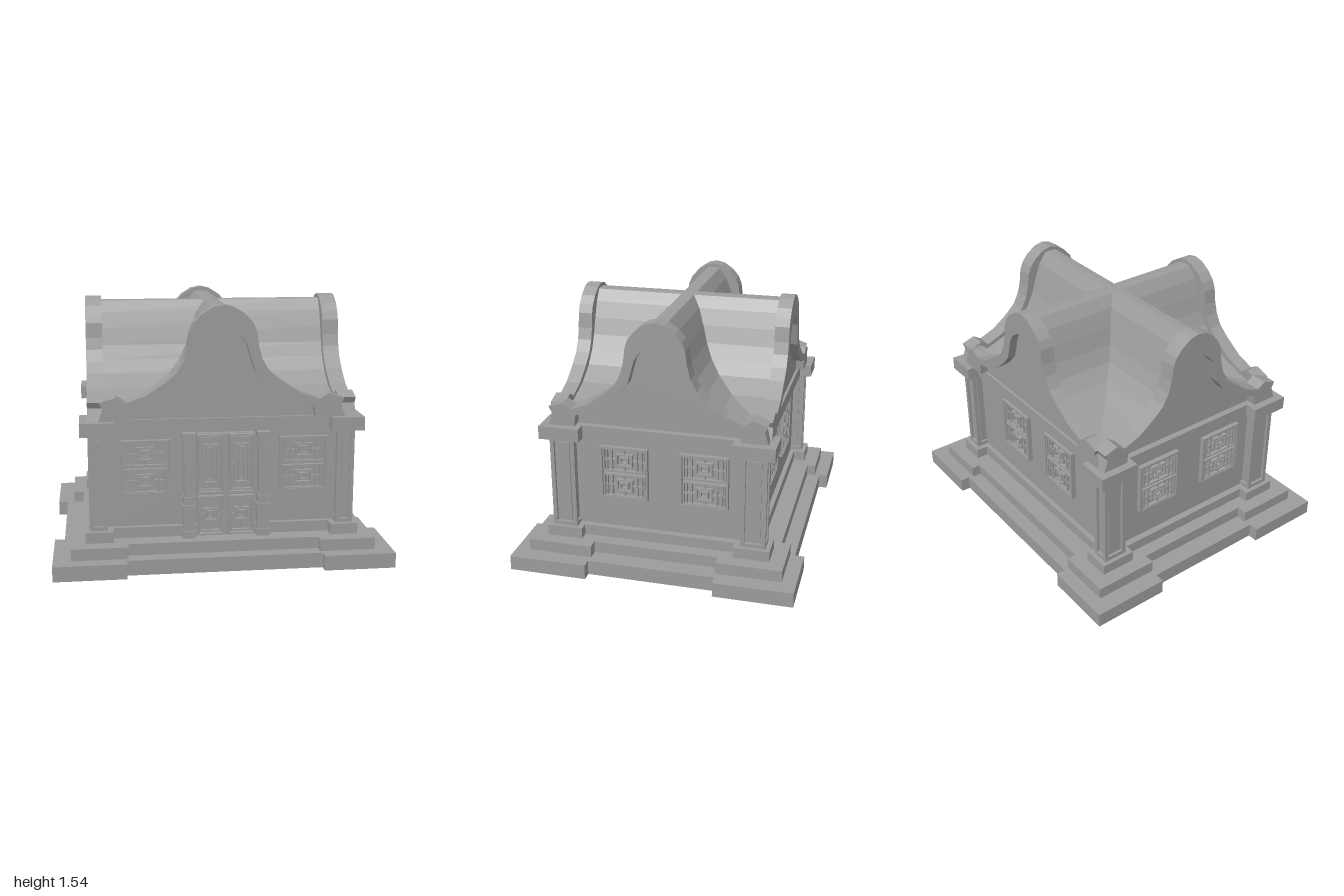
import * as THREE from 'three';

const mat = new THREE.MeshStandardMaterial({ color: 0x9c9c9c, flatShading: true, side: THREE.DoubleSide });

function add(parent, name, geo, x = 0, y = 0, z = 0) {
  const m = new THREE.Mesh(geo, mat);
  m.name = name;
  m.position.set(x, y, z);
  parent.add(m);
  return m;
}
// box resting its back on local z
function slab(parent, name, x, y, z, w, h, d) {
  return add(parent, name, new THREE.BoxGeometry(w, h, d), x, y, z + d / 2);
}
const poly = pts => new THREE.Shape(pts.map(p => new THREE.Vector2(...p)));
const extrude = (shape, depth) => new THREE.ExtrudeGeometry(shape, { depth, bevelEnabled: false });
const rect = (w, h) => [[-w / 2, -h / 2], [w / 2, -h / 2], [w / 2, h / 2], [-w / 2, h / 2]];

// rectangular picture-frame moulding
function frame(parent, name, x, y, z, w, h, border, depth) {
  const s = poly(rect(w, h));
  s.holes.push(poly(rect(w - 2 * border, h - 2 * border)));
  return add(parent, name, extrude(s, depth), x, y, z);
}

// rectangle whose four corners project past the recessed sides
function footprint(X, Z, nx, nz, rx, rz) {
  const quarter = [[rx, nz], [X, nz], [X, Z], [nx, Z], [nx, rz]];
  const flip = [...quarter].reverse();
  return [...quarter, ...flip.map(([x, z]) => [-x, z]),
    ...quarter.map(([x, z]) => [-x, -z]), ...flip.map(([x, z]) => [x, -z])];
}
function tier(parent, name, y0, y1, pts, hole) {
  const s = poly(pts);
  if (hole) s.holes.push(poly(hole));
  add(parent, name, extrude(s, y1 - y0).rotateX(-Math.PI / 2), 0, y0, 0);
}

// fretwork: border and inner frame (iw x ih) joined by short bars, with a small core
function lattice(parent, x, y, w, h, iw, ih) {
  frame(parent, 'latticeBorder', x, y, 0, w, h, 0.009, 0.024);
  frame(parent, 'latticeInner', x, y, 0, iw, ih, 0.01, 0.024);
  frame(parent, 'latticeCore', x, y, 0, iw - 0.05, ih - 0.036, 0.009, 0.024);
  for (const s of [-1, 1]) {
    slab(parent, 'latticeCrossBar', x + s * (w / 2 + iw / 2) / 2, y, 0, (w - iw) / 2, 0.01, 0.018);
    slab(parent, 'latticePost', x, y + s * (h / 2 + ih / 2) / 2, 0, 0.01, (h - ih) / 2, 0.018);
  }
}

function windowUnit() {
  const g = new THREE.Group();
  g.name = 'window';
  frame(g, 'windowFrame', 0, 0, 0, 0.29, 0.33, 0.012, 0.03);
  for (const s of [-1, 1]) {
    lattice(g, 0, s * 0.082, 0.258, 0.148, 0.102, 0.08);
    for (const x of [-0.107, -0.077, 0.077, 0.107]) {
      slab(g, 'latticeSideBar', x, s * 0.082, 0, 0.009, 0.13, 0.02);
    }
  }
  return g;
}

function door() {
  const g = new THREE.Group();
  g.name = 'door';
  for (const s of [-1, 1]) {
    const x = s * 0.0925;
    slab(g, 'doorLeaf', x, 0.475, -0.06, 0.158, 0.62, 0.06);
    frame(g, 'leafUpperFrame', x, 0.605, 0, 0.157, 0.355, 0.01, 0.03);
    lattice(g, x, 0.605, 0.13, 0.325, 0.092, 0.24);
    frame(g, 'leafLowerFrame', x, 0.29, 0, 0.157, 0.24, 0.01, 0.03);
    lattice(g, x, 0.295, 0.13, 0.21, 0.09, 0.08);
    // stepped pilaster: centre height, width, height, depth
    const steps = [[0.18, 0.08, 0.04, 0.105], [0.265, 0.07, 0.13, 0.095], [0.345, 0.078, 0.03, 0.105],
      [0.385, 0.064, 0.05, 0.095], [0.55, 0.054, 0.32, 0.085], [0.72, 0.066, 0.03, 0.095],
      [0.75, 0.058, 0.03, 0.088], [0.78, 0.078, 0.03, 0.105]];
    for (const [y, w, h, d] of steps) slab(g, 'doorPilaster', s * 0.221, y, -0.06, w, h, d);
  }
  slab(g, 'doorMeetingStile', 0, 0.475, -0.06, 0.024, 0.62, 0.07);
  return g;
}

function cornerColumn(sx, sz) {
  const g = new THREE.Group();
  g.name = 'cornerColumn';
  const w = 0.105, d = 0.15, h = 0.575;
  slab(g, 'columnCore', 0, 0, -d / 2 + 0.018, w - 0.036, h, d - 0.036);
  // framed panel on each of the four faces
  for (let i = 0; i < 4; i++) {
    const face = new THREE.Group();
    face.name = 'columnFace';
    const fw = i % 2 ? d : w, off = (i % 2 ? w : d) / 2;
    frame(face, 'columnPanelFrame', 0, 0, off - 0.018, fw, h, 0.024, 0.018);
    slab(face, 'columnPanel', 0, 0, off - 0.018, fw - 0.068, h - 0.068, 0.008);
    face.rotation.y = i * Math.PI / 2;
    g.add(face);
  }
  g.position.set(sx * 0.7325, 0.5125, sz * 0.576);
  return g;
}

// half profiles of the bell gable and the roof behind it, apex to foot
const OUTER = [[0, 1.54], [0.06, 1.528], [0.125, 1.488], [0.17, 1.44], [0.192, 1.39], [0.205, 1.3],
  [0.225, 1.23], [0.265, 1.16], [0.335, 1.1], [0.45, 1.025], [0.565, 0.985], [0.62, 1.018],
  [0.715, 0.99], [0.695, 0.955], [0.72, 0.88]];
const INNER = [[0, 1.4], [0.05, 1.392], [0.1, 1.36], [0.135, 1.315], [0.155, 1.25], [0.18, 1.17],
  [0.245, 1.095], [0.35, 1.015], [0.44, 0.975], [0.535, 0.95], [0.545, 0.88]];
const ROOF = [[0, 1.515], [0.045, 1.512], [0.095, 1.445], [0.135, 1.35], [0.17, 1.25], [0.215, 1.165],
  [0.285, 1.09], [0.4, 1.015], [0.55, 0.965], [0.66, 0.945], [0.66, 0.86]];
const mirrored = (half, k) => [...half.slice(1).reverse().map(([x, y]) => [-x * k, y]),
  ...half.map(([x, y]) => [x * k, y])];

function gable(k, back, depth) {
  const g = new THREE.Group();
  g.name = 'gable';
  const side = (half, s) => half.map(([x, y]) => [s * x * k, y]);
  // rim band: outer curve across, inner curve back
  const rim = poly([...mirrored(OUTER, k), ...side(INNER, 1).reverse(), ...side(INNER.slice(1), -1)]);
  add(g, 'gableRim', extrude(rim, depth), 0, 0, back);
  add(g, 'gablePanel', extrude(poly(mirrored(INNER, k)), 0.035), 0, 0, back);
  return g;
}

export function createModel() {
  const model = new THREE.Group();
  model.name = 'pavilion';
  const DEPTH = 0.905; // narrower gables on the short sides

  // stepped plinth, hollow underneath
  const base = footprint(1, 0.855, 0.575, 0.385, 0.94, 0.8);
  tier(model, 'plinthSkirt', 0, 0.08, base, footprint(0.99, 0.845, 0.585, 0.395, 0.93, 0.79));
  tier(model, 'plinthTop', 0.08, 0.09, base);
  tier(model, 'middleStep', 0.09, 0.16, footprint(0.895, 0.77, 0.565, 0.38, 0.83, 0.715));
  tier(model, 'upperStep', 0.16, 0.225, footprint(0.81, 0.68, 0.645, 0.465, 0.75, 0.605));

  // walls and cornice
  add(model, 'walls', new THREE.BoxGeometry(1.42, 0.6, 1.15), 0, 0.51, 0);
  tier(model, 'cornice', 0.8, 0.88, footprint(0.83, 0.7, 0.635, 0.455, 0.755, 0.625));
  for (const sx of [-1, 1]) for (const sz of [-1, 1]) model.add(cornerColumn(sx, sz));

  // door and windows: x, z, facing
  const d = door();
  d.position.set(0.021, 0, 0.609);
  model.add(d);
  const q = Math.PI / 2;
  const spots = [[-0.45, 0.575, 0], [0.49, 0.575, 0], [-0.24, -0.575, 2 * q], [0.24, -0.575, 2 * q],
    [0.71, 0.2125, q], [0.71, -0.2725, q], [-0.71, -0.2125, -q], [-0.71, 0.2725, -q]];
  for (const [x, z, ry] of spots) {
    const w = windowUnit();
    w.position.set(x, 0.585, z);
    w.rotation.y = ry;
    model.add(w);
  }

  // crossing roofs and their four gables
  add(model, 'roofFrontToBack', extrude(poly(mirrored(ROOF, 1)), 1.17), 0, 0, -0.585);
  add(model, 'roofSideToSide', extrude(poly(mirrored(ROOF, DEPTH)), 1.38).translate(0, 0, -0.69)).rotation.y = q;
  for (let i = 0; i < 4; i++) {
    const g = i % 2 ? gable(DEPTH, 0.683, 0.1) : gable(1, 0.573, 0.087);
    g.rotation.y = i * q;
    model.add(g);
  }
  return model;
}
